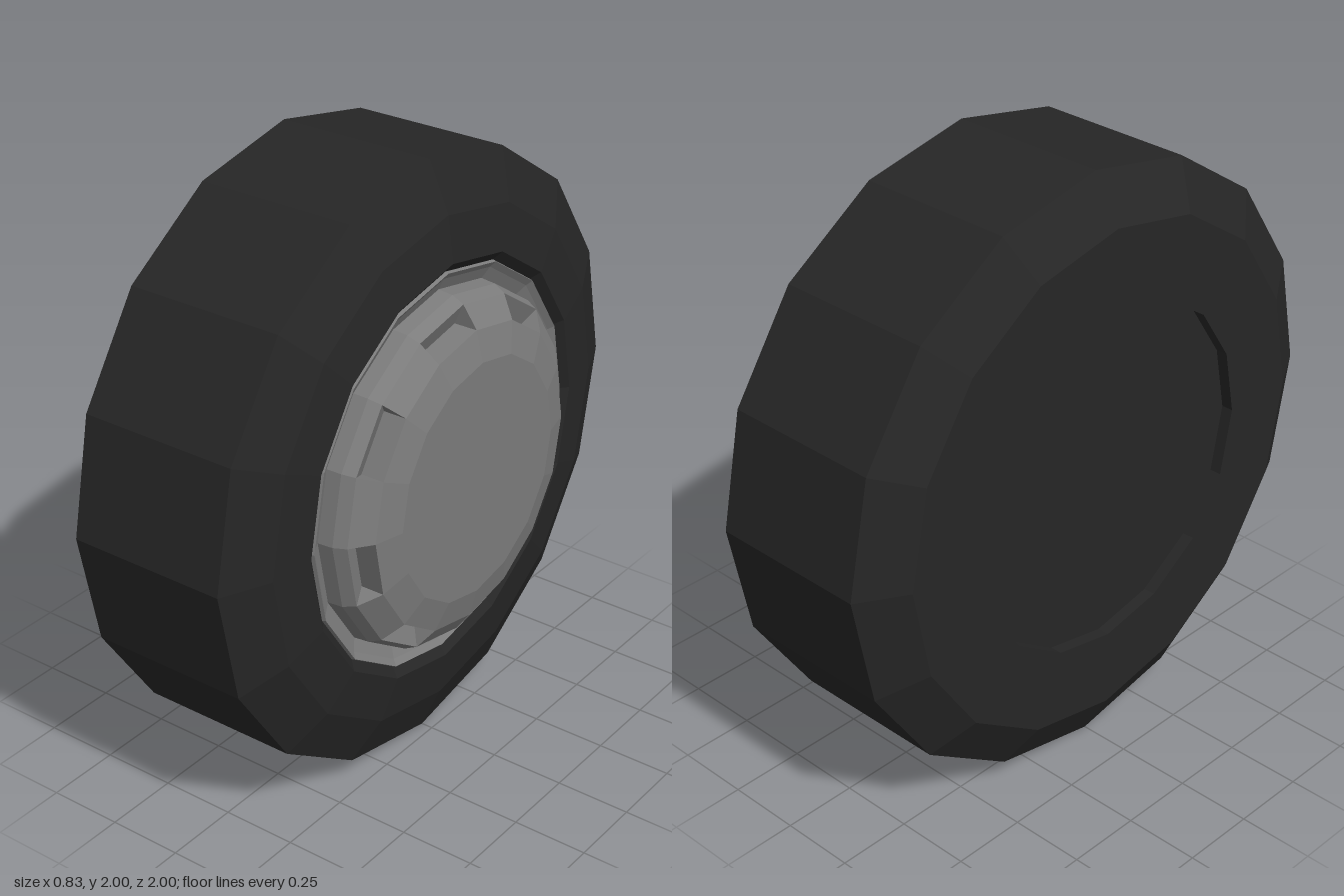
import * as THREE from 'three';

const SIDES = 16;

// Point at axial position x and radius r, turned by i steps round the x axis
function ringPoint([x, r], i) {
  const a = (i % SIDES) * Math.PI * 2 / SIDES;
  return [x, 1 + r * Math.sin(a), -r * Math.cos(a)];
}

// One facet between two profile points
function addFacet(out, a, b, i) {
  const a0 = ringPoint(a, i), a1 = ringPoint(a, i + 1);
  const b0 = ringPoint(b, i), b1 = ringPoint(b, i + 1);
  if (a[1] > 0) out.push(...a0, ...a1, ...b1);
  if (b[1] > 0) out.push(...a0, ...b1, ...b0);
}

function addRings(out, profile) {
  for (let k = 0; k < profile.length - 1; k++)
    for (let i = 0; i < SIDES; i++) addFacet(out, profile[k], profile[k + 1], i);
}

function makeMesh(name, positions, material) {
  const geometry = new THREE.BufferGeometry();
  geometry.setAttribute('position', new THREE.Float32BufferAttribute(positions, 3));
  geometry.computeVertexNormals(); // unshared corners keep the facets flat
  const mesh = new THREE.Mesh(geometry, material);
  mesh.name = name;
  return mesh;
}

function lathe(name, profile, material) {
  const out = [];
  addRings(out, profile);
  return makeMesh(name, out, material);
}

// Domed cap with a wedge-shaped slot in every second facet of its shoulder
function makeHubcap(material) {
  const outer = [0.34, 0.57], inner = [0.39, 0.5], floor = [0.31, 0.5];
  const out = [];
  addRings(out, [[0.24, 0.595], [0.3, 0.59], outer]);
  addRings(out, [inner, [0.415, 0.4], [0.415, 0]]);
  for (let i = 0; i < SIDES; i++) {
    if (i % 2) {
      addFacet(out, outer, inner, i);
      continue;
    }
    addFacet(out, outer, floor, i);
    addFacet(out, floor, inner, i);
    for (const p of [outer, floor, inner]) out.push(...ringPoint(p, i));
    for (const p of [outer, inner, floor]) out.push(...ringPoint(p, i + 1));
  }
  return makeMesh('hubcap', out, material);
}

export function createModel() {
  const rubber = new THREE.MeshStandardMaterial({ color: 0x262626 });
  rubber.name = 'black rubber';
  const metal = new THREE.MeshStandardMaterial({ color: 0x7c7c7c });
  metal.name = 'grey metal';

  const wheel = new THREE.Group();
  wheel.name = 'wheel';
  wheel.add(
    // Tyre with bevelled shoulders and a lip round the rim
    lathe('tyre', [
      [-0.38, 0.58], [-0.42, 0.58], [-0.42, 0.845], [-0.33, 1], [0.21, 1],
      [0.28, 0.84], [0.3, 0.69], [0.27, 0.655],
    ], rubber),
    // Recessed plate closing the inner side
    lathe('backPlate', [[-0.38, 0], [-0.38, 0.58]], rubber),
    // Stepped rim dishing in towards the cap
    lathe('rim', [[0.27, 0.66], [0.285, 0.655], [0.27, 0.635], [0.25, 0.595]], metal),
    makeHubcap(metal),
  );
  return wheel;
}
